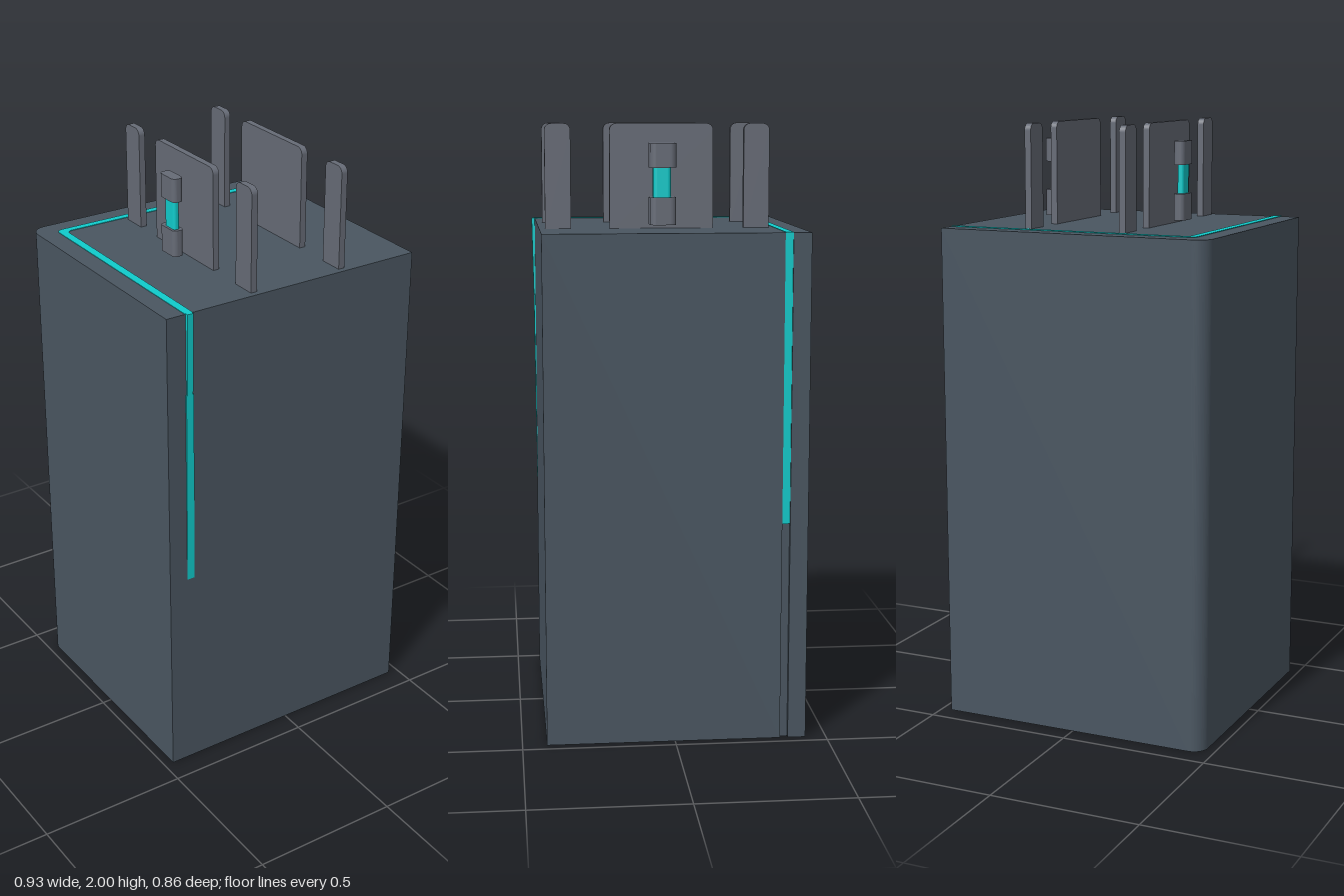
import * as THREE from 'three';

const mat = (color) => new THREE.MeshStandardMaterial({ color });
const caseMat = mat(0x4a5661), pinMat = mat(0x666b76), glowMat = mat(0x10cccc);

function add(parent, name, geometry, material) {
  const mesh = new THREE.Mesh(geometry, material);
  mesh.name = name;
  parent.add(mesh);
  return mesh;
}

// Extrude a floor plan drawn as (x, -z) from y0 up to y1
function upright(shape, y0, y1) {
  const g = new THREE.ExtrudeGeometry(shape, { depth: y1 - y0, bevelEnabled: false, curveSegments: 8 });
  return g.rotateX(-Math.PI / 2).translate(0, y0, 0);
}

// Extrude a side profile drawn as (-z, y) from x0 to x1
function sideways(shape, x0, x1) {
  const g = new THREE.ExtrudeGeometry(shape, { depth: x1 - x0, bevelEnabled: false, curveSegments: 6 });
  return g.rotateY(Math.PI / 2).translate(x0, 0, 0);
}

// Rectangle with rounded corners
function roundedRect(x0, y0, x1, y1, r) {
  const s = new THREE.Shape();
  s.absarc(x1 - r, y0 + r, r, -Math.PI / 2, 0);
  s.absarc(x1 - r, y1 - r, r, 0, Math.PI / 2);
  s.absarc(x0 + r, y1 - r, r, Math.PI / 2, Math.PI);
  s.absarc(x0 + r, y0 + r, r, Math.PI, Math.PI * 1.5);
  s.closePath();
  return s;
}

// Contact blade with rounded top corners
function bladeShape(z0, z1, r = 0.022) {
  const s = new THREE.Shape();
  s.moveTo(-z1, 1.65);
  s.lineTo(-z0, 1.65);
  s.absarc(-z0 - r, 2 - r, r, 0, Math.PI / 2);
  s.absarc(-z1 + r, 2 - r, r, Math.PI / 2, Math.PI);
  s.closePath();
  return s;
}

// Small fuse: two rounded caps joined by a coloured core
function createFuse(name, x0, x1, r, inset) {
  const fuse = new THREE.Group();
  fuse.name = name;
  const plan = roundedRect(x0, -0.065, x1, 0.02, r);
  for (const [cap, y0, y1] of [['lowerCap', 1.677, 1.765], ['upperCap', 1.86, 1.938]]) {
    add(fuse, cap, upright(plan, y0, y1), pinMat);
  }
  const core = roundedRect(x0 + inset, -0.053, x1 - inset, 0.003, r * 0.6);
  add(fuse, 'core', upright(core, 1.76, 1.865), glowMat);
  return fuse;
}

export function createModel() {
  const model = new THREE.Group();
  model.name = 'plugInModule';

  // Case with one rounded back edge and a narrow slot down its left side
  const top = 1.662, plan = new THREE.Shape();
  plan.moveTo(-0.468, -0.42);
  plan.lineTo(0.466, -0.42);
  plan.lineTo(0.466, 0.347);
  plan.lineTo(0.452, 0.347);
  plan.lineTo(0.452, 0.373);
  plan.lineTo(0.466, 0.373);
  plan.lineTo(0.466, 0.432);
  plan.absarc(-0.418, 0.382, 0.05, Math.PI / 2, Math.PI);
  plan.closePath();
  add(model, 'case', upright(plan, 0, top), caseMat);

  // L-shaped light strip across the top
  const strip = new THREE.Shape();
  strip.moveTo(-0.403, -0.42);
  strip.lineTo(-0.376, -0.42);
  strip.absarc(-0.356, 0.329, 0.02, Math.PI, Math.PI / 2, true);
  strip.lineTo(0.463, 0.349);
  strip.lineTo(0.463, 0.373);
  strip.absarc(-0.383, 0.353, 0.02, Math.PI / 2, Math.PI);
  strip.closePath();
  add(model, 'topLightStrip', upright(strip, 1.64, top + 0.002), glowMat);

  // Light strip in the side slot
  const side = new THREE.BoxGeometry(0.02, top - 0.723, 0.025);
  add(model, 'sideLightStrip', side, glowMat).position.set(0.453, (top + 0.723) / 2, -0.36);

  // Light strip on the front, leaning out towards the top
  const frontPart = (y0, y1, z0, z1) => new THREE.Shape([
    new THREE.Vector2(-z0, y0), new THREE.Vector2(-0.4, y0),
    new THREE.Vector2(-0.4, y1), new THREE.Vector2(-z1, y1),
  ]);
  add(model, 'frontLightStripLower', sideways(frontPart(0.72, 1.39, 0.421, 0.426), -0.403, -0.376), glowMat);
  add(model, 'frontLightStripUpper', sideways(frontPart(1.39, top + 0.002, 0.426, 0.431), -0.4, -0.379), glowMat);

  // Two rows of contact blades
  for (const [row, x] of [['right', -0.139], ['left', 0.196]]) {
    for (const [part, z0, z1] of [['BackPin', -0.333, -0.249], ['WidePin', -0.148, 0.19], ['FrontPin', 0.316, 0.4]]) {
      add(model, row + part, sideways(bladeShape(z0, z1), x - 0.011, x + 0.011), pinMat);
    }
  }

  // Fuses beside the wide blades
  model.add(createFuse('thinFuse', -0.216, -0.178, 0.015, 0.008));
  model.add(createFuse('thickFuse', 0.215, 0.299, 0.02, 0.014));
  return model;
}
